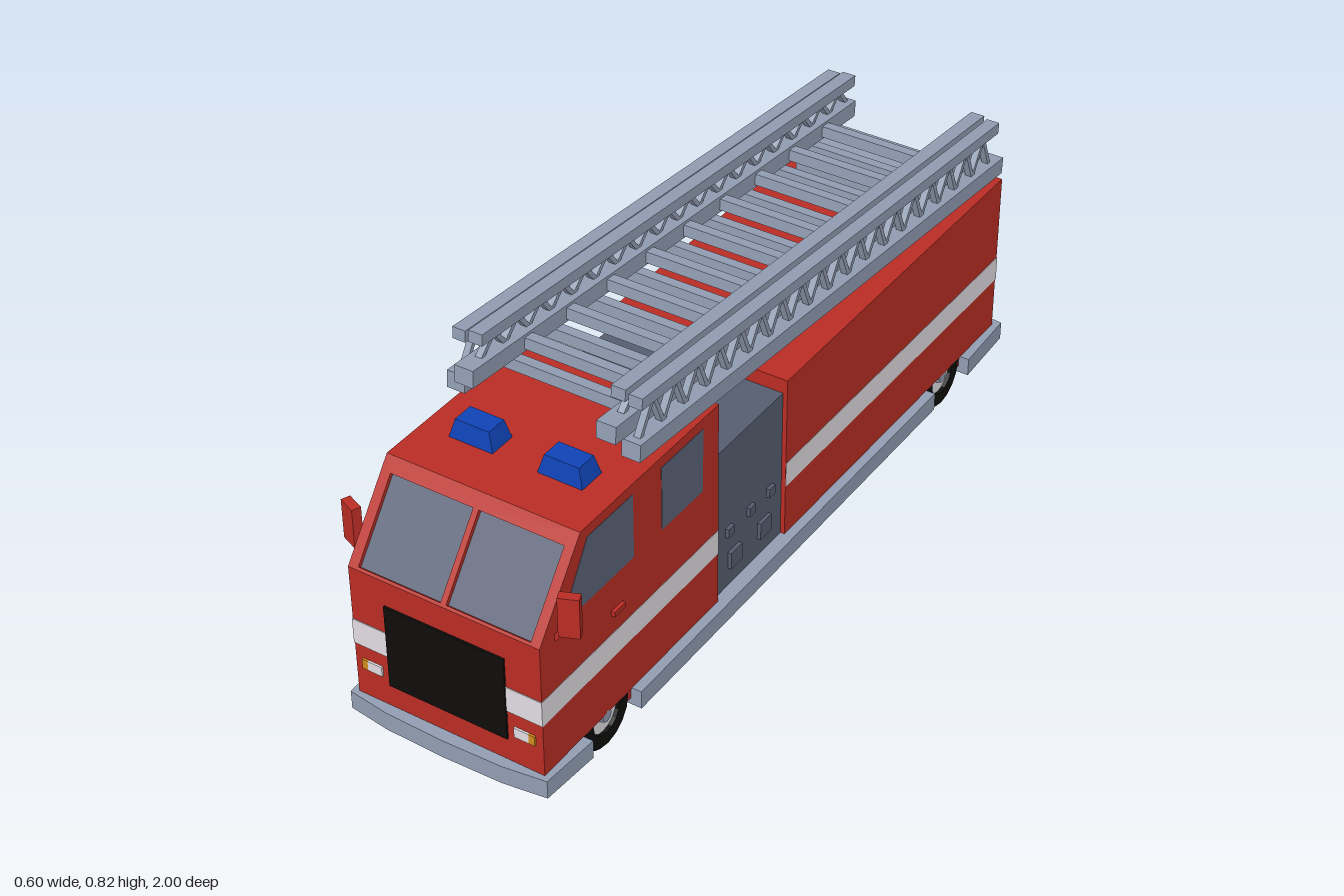
import * as THREE from 'three';

const mat = (color) => new THREE.MeshStandardMaterial({ color, flatShading: true });
const RED = mat(0xb92c24), STEEL = mat(0x919db2), DARK = mat(0x565d70), GLASS = mat(0x5b6377),
  WHITE = mat(0xe0dce2), BLACK = mat(0x0e0d0c), BLUE = mat(0x0f42b4), AMBER = mat(0xd08a1c), LAMP = mat(0x8a1018);

function add(parent, name, geometry, material, x = 0, y = 0, z = 0) {
  const mesh = new THREE.Mesh(geometry, material);
  mesh.name = name;
  mesh.position.set(x, y, z);
  parent.add(mesh);
  return mesh;
}

// box given by its min/max on each axis
function block(parent, name, material, x0, x1, y0, y1, z0, z1) {
  return add(parent, name, new THREE.BoxGeometry(x1 - x0, y1 - y0, z1 - z0), material,
    (x0 + x1) / 2, (y0 + y1) / 2, (z0 + z1) / 2);
}

// the same box on both sides of the vehicle
function pair(parent, name, material, x0, x1, ...yz) {
  block(parent, name + 'Left', material, x0, x1, ...yz);
  block(parent, name + 'Right', material, -x1, -x0, ...yz);
}

const toShape = (pts) => new THREE.Shape(pts.map(([x, y]) => new THREE.Vector2(x, y)));

// profile of [z, y] points extruded across the width
function sideProfile(pts, width) {
  const g = new THREE.ExtrudeGeometry(toShape(pts), { depth: width, bevelEnabled: false });
  return g.translate(0, 0, -width / 2).rotateY(-Math.PI / 2);
}

// square bar between two [y, z] points at a given x
function bar(parent, name, material, x, [y0, z0], [y1, z1], tx, t) {
  const g = new THREE.BoxGeometry(tx, t, Math.hypot(y1 - y0, z1 - z0));
  const m = add(parent, name, g, material, x, (y0 + y1) / 2, (z0 + z1) / 2);
  m.rotation.x = -Math.atan2(y1 - y0, z1 - z0);
}

function buildBody(root) {
  const W = 0.241;
  // chassis plate with bumpers, side steps and wheel notches
  const half = [[0, 1], [0.15, 0.996], [0.255, 0.982], [0.265, 0.83], [0.185, 0.83], [0.185, 0.65], [0.265, 0.65],
    [0.265, -0.63], [0.185, -0.63], [0.185, -0.8], [0.265, -0.8], [0.257, -0.985], [0.15, -0.997], [0, -1]];
  const outline = [...half, ...half.slice(1, -1).reverse().map(([x, z]) => [-x, z])];
  const plate = new THREE.ExtrudeGeometry(toShape(outline.map(([x, z]) => [x, -z])), { depth: 0.047, bevelEnabled: false });
  add(root, 'chassisAndBumpers', plate.rotateX(-Math.PI / 2), STEEL, 0, 0.047, 0);

  // cab with a rebate for the windscreen, pump bay and rear body
  add(root, 'cab', sideProfile([[0.31, 0.093], [0.97, 0.093], [0.97, 0.435], [0.9605, 0.4277],
    [0.8105, 0.6247], [0.82, 0.632], [0.31, 0.632]], 2 * W), RED);
  block(root, 'pumpBay', DARK, -0.23, 0.23, 0.093, 0.485, 0.025, 0.315);
  block(root, 'rearBody', RED, -W, W, 0.093, 0.522, -0.965, 0.03);

  // reflective stripe wrapping cab and rear body
  block(root, 'cabStripe', WHITE, -W - 0.001, W + 0.001, 0.23, 0.295, 0.311, 0.972);
  block(root, 'rearStripe', WHITE, -W - 0.001, W + 0.001, 0.23, 0.295, -0.967, 0.029);

  // pump bay gauges and outlets
  for (const z of [0.252, 0.164, 0.082]) pair(root, 'gauge', DARK, 0.225, 0.239, 0.238, 0.262, z - 0.012, z + 0.012);
  for (const z of [0.23, 0.107]) pair(root, 'outlet', DARK, 0.225, 0.239, 0.143, 0.188, z - 0.023, z + 0.023);
}

function buildCabDetails(root) {
  // windscreen: sloping frame with two openings and glass set behind
  const screen = new THREE.Group();
  screen.name = 'windscreen';
  screen.position.set(0, 0.4277, 0.9605);
  screen.rotation.x = -Math.atan2(0.15, 0.197);
  const frame = toShape([[-0.241, 0], [0.241, 0], [0.241, 0.2476], [-0.241, 0.2476]]);
  for (const [a, b] of [[-0.217, -0.007], [0.007, 0.217]]) {
    frame.holes.push(new THREE.Path([[a, 0.007], [a, 0.211], [b, 0.211], [b, 0.007]].map((p) => new THREE.Vector2(...p))));
    block(screen, 'windscreenGlass', GLASS, a, b, 0.007, 0.211, -0.002, 0.002);
  }
  add(screen, 'windscreenFrame', new THREE.ExtrudeGeometry(frame, { depth: 0.012, bevelEnabled: false }), RED);
  root.add(screen);

  // side windows pass through the cab, standing just proud
  add(root, 'frontSideWindows', sideProfile([[0.635, 0.443], [0.893, 0.443], [0.885, 0.462], [0.797, 0.606], [0.635, 0.606]], 0.484), GLASS);
  block(root, 'rearSideWindows', GLASS, -0.242, 0.242, 0.443, 0.606, 0.372, 0.53);

  // grille, headlights, indicators
  block(root, 'grille', BLACK, -0.152, 0.152, 0.154, 0.37, 0.96, 0.975);
  pair(root, 'headlight', WHITE, 0.17, 0.207, 0.17, 0.195, 0.96, 0.975);
  pair(root, 'indicator', AMBER, 0.207, 0.222, 0.17, 0.195, 0.96, 0.975);
  pair(root, 'doorHandle', RED, 0.238, 0.25, 0.344, 0.357, 0.68, 0.72);

  // tail lights
  pair(root, 'tailLamp', LAMP, 0.18, 0.217, 0.168, 0.204, -0.975, -0.96);
  pair(root, 'rearIndicator', AMBER, 0.18, 0.217, 0.128, 0.165, -0.975, -0.96);

  for (const s of [-1, 1]) {
    // mirror on a short slanted arm
    const mirror = add(root, 'mirror', new THREE.BoxGeometry(0.046, 0.1, 0.022), RED, s * 0.273, 0.495, 0.908);
    mirror.rotation.y = s * 0.4;
    const arm = add(root, 'mirrorArm', new THREE.BoxGeometry(0.04, 0.012, 0.016), RED, s * 0.248, 0.438, 0.91);
    arm.rotation.z = s * 0.95;

    // beacon: box tapered towards its top
    const g = new THREE.BoxGeometry(0.112, 0.046, 0.07);
    const p = g.attributes.position;
    for (let i = 0; i < p.count; i++) {
      if (p.getY(i) > 0) p.setXYZ(i, p.getX(i) * 0.77, p.getY(i), p.getZ(i) * 0.75);
    }
    g.computeVertexNormals();
    add(root, 'beacon', g, BLUE, s * 0.112, 0.654, 0.672);
  }
}

function buildWheels(root) {
  const tyreProfile = [[0.048, 0.024], [0.078, 0.026], [0.086, 0.017], [0.086, -0.017], [0.078, -0.026], [0.048, -0.024], [0.048, 0.024]]
    .reverse().map((p) => new THREE.Vector2(...p));
  for (const z of [0.743, -0.712]) {
    for (const s of [-1, 1]) {
      const wheel = new THREE.Group();
      wheel.name = (z > 0 ? 'front' : 'rear') + 'Wheel';
      wheel.position.set(s * 0.215, 0.086, z);
      wheel.rotation.z = -s * Math.PI / 2;
      add(wheel, 'tyre', new THREE.LatheGeometry(tyreProfile, 16), BLACK);
      add(wheel, 'rim', new THREE.CylinderGeometry(0.05, 0.05, 0.03, 16), WHITE);
      add(wheel, 'hub', new THREE.CylinderGeometry(0.016, 0.02, 0.016, 8), STEEL, 0, 0.018, 0);
      root.add(wheel);
    }
    // lower corners of the wheel arches
    for (const d of [-0.083, 0.083]) pair(root, 'archCorner', RED, 0.18, 0.238, 0.065, 0.094, z + d - 0.011, z + d + 0.011);
  }
}

function buildLadder(root) {
  const ladder = new THREE.Group();
  ladder.name = 'ladder';
  ladder.position.set(0, 0.628, -0.175);
  ladder.rotation.x = -Math.atan(0.08);
  root.add(ladder);

  // outer and inner sections: centre x, rail widths, rail heights and z ranges
  const sections = [
    { name: 'outer', x: 0.22, w: 0.046, wTop: 0.033, y: 0, yTop: 0.11, z0: -0.785, z1: 0.785, rungShift: 0.014 },
    { name: 'inner', x: 0.178, w: 0.048, wTop: 0.035, y: 0.043, yTop: 0.116, z0: -0.755, z1: 0.815, rungShift: -0.014 },
  ];
  for (const c of sections) {
    pair(ladder, c.name + 'LowerRail', STEEL, c.x - c.w / 2, c.x + c.w / 2, c.y - 0.021, c.y + 0.021, c.z0, c.z1);
    pair(ladder, c.name + 'UpperRail', STEEL, c.x - c.wTop / 2, c.x + c.wTop / 2, c.yTop - 0.014, c.yTop + 0.014, -0.755, 0.775);
    // zigzag lattice
    const n = 36, a = -0.74, step = 1.5 / n;
    for (let i = 0; i < n; i++) {
      const lo = [c.y + 0.018, a + (i + (i % 2)) * step], hi = [c.yTop - 0.01, a + (i + 1 - (i % 2)) * step];
      for (const s of [-1, 1]) bar(ladder, c.name + 'Lattice', STEEL, s * c.x, lo, hi, 0.016, 0.011);
    }
    // rungs
    for (let i = 0; i < 9; i++) {
      const z = 0.632 - i * 0.1535 + c.rungShift;
      block(ladder, c.name + 'Rung', STEEL, -c.x, c.x, c.y - 0.014, c.y + 0.014, z - 0.014, z + 0.014);
    }
  }
  // mount on the rear body
  block(root, 'ladderMount', STEEL, -0.2, 0.2, 0.515, 0.562, -0.915, -0.73);
}

export function createModel() {
  const root = new THREE.Group();
  root.name = 'fireEngine';
  buildBody(root);
  buildCabDetails(root);
  buildWheels(root);
  buildLadder(root);
  return root;
}
